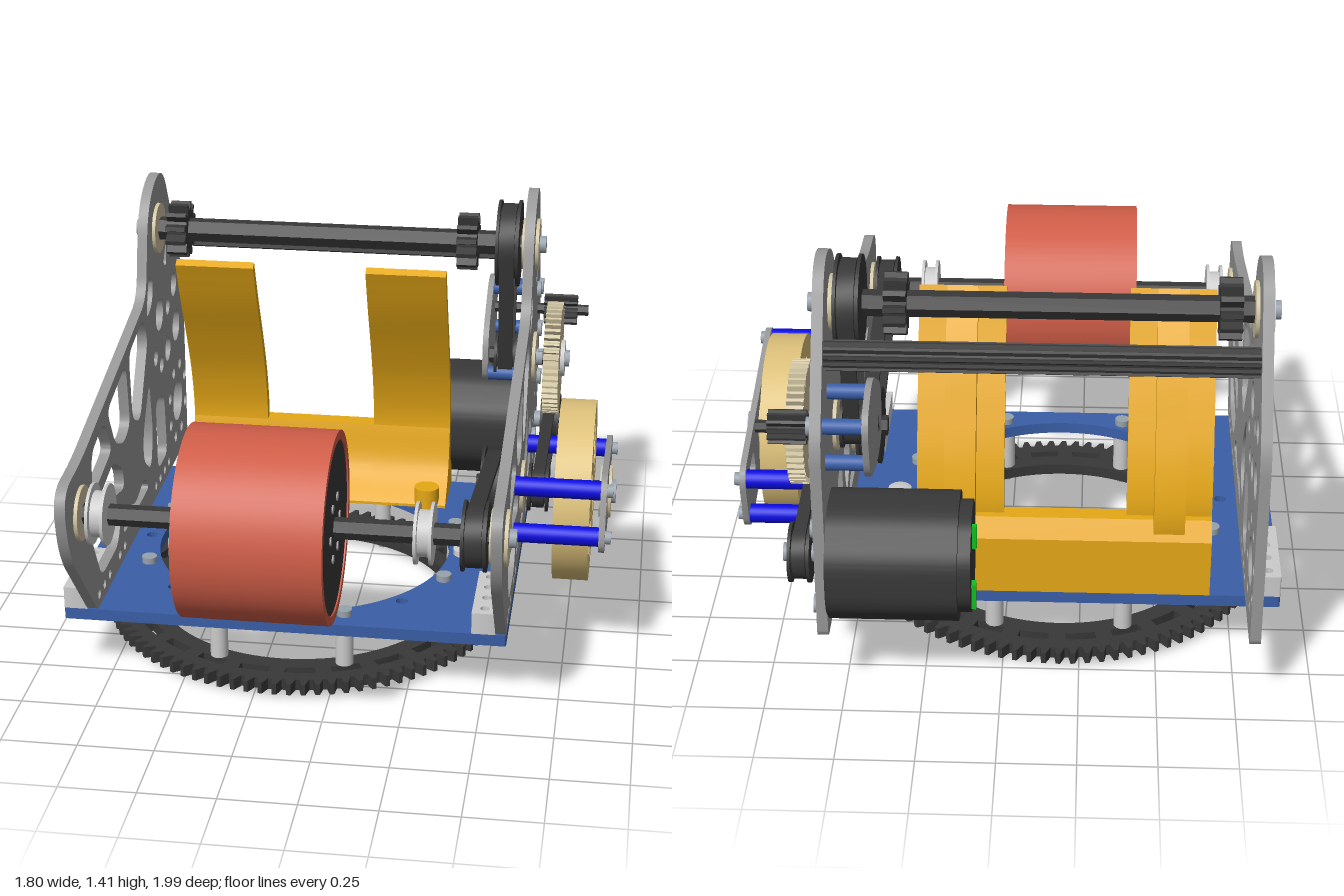
import * as THREE from 'three';
import { toCreasedNormals } from 'three/addons/utils/BufferGeometryUtils.js';

const C = { grey: 0xcccccc, plate: 0x999999, bolt: 0x98a2ac, blue: 0x3a5fa8, bright: 0x0a0ae0, coral: 0xcf5d48,
  yellow: 0xe6a817, dark: 0x383838, tan: 0xdcc07a, gear: 0xcfc3a0, green: 0x10c020 };
const mats = {};
const mat = c => (mats[c] ??= new THREE.MeshStandardMaterial({ color: C[c] }));
const V = (a, b) => new THREE.Vector2(a, b);

export function createModel() {
  const root = new THREE.Group();
  const add = (name, geo, color) => {
    const m = new THREE.Mesh(geo, mat(color));
    m.name = name;
    root.add(m);
    return m;
  };
  const box = (name, x0, x1, y0, y1, z0, z1, color) =>
    add(name, new THREE.BoxGeometry(x1 - x0, y1 - y0, z1 - z0), color)
      .position.set((x0 + x1) / 2, (y0 + y1) / 2, (z0 + z1) / 2);
  // Cylinder along x, or upright
  const rod = (name, r, x0, x1, z, y, color, sides = 28) => {
    const g = new THREE.CylinderGeometry(r, r, x1 - x0, sides).rotateZ(Math.PI / 2);
    add(name, sides < 10 ? toCreasedNormals(g, 0.5) : g, color).position.set((x0 + x1) / 2, y, z);
  };
  const post = (name, r, y0, y1, x, z, color) =>
    add(name, new THREE.CylinderGeometry(r, r, y1 - y0, 20), color).position.set(x, (y0 + y1) / 2, z);
  // Side profile (z, y) extruded from x0 to x1
  const side = (name, shape, x0, x1, color, segs = 14) => {
    const g = new THREE.ExtrudeGeometry(shape, { depth: x1 - x0, bevelEnabled: false, curveSegments: segs });
    g.rotateY(-Math.PI / 2).translate(x1, 0, 0);
    return add(name, toCreasedNormals(g, 0.5), color);
  };
  // Flat profile (x, -z) extruded from y0 to y1
  const flat = (name, shape, y0, y1, color, segs = 48) => {
    const g = new THREE.ExtrudeGeometry(shape, { depth: y1 - y0, bevelEnabled: false, curveSegments: segs });
    g.rotateX(-Math.PI / 2).translate(0, y0, 0);
    return add(name, toCreasedNormals(g, 0.5), color);
  };
  const circle = (x, y, r) => { const p = new THREE.Path(); p.absarc(x, y, r, 0, Math.PI * 2); return p; };
  const rounded = (pts, r, Kind = THREE.Path) => {
    const s = new Kind(), P = pts.map(p => V(...p)), n = P.length;
    P.forEach((p, i) => {
      const a = P[(i + n - 1) % n], b = P[(i + 1) % n];
      const rad = Math.min(pts[i][2] ?? r, p.distanceTo(a) / 2, p.distanceTo(b) / 2);
      const s0 = a.clone().sub(p).setLength(rad).add(p), s1 = b.clone().sub(p).setLength(rad).add(p);
      i ? s.lineTo(s0.x, s0.y) : s.moveTo(s0.x, s0.y);
      s.quadraticCurveTo(p.x, p.y, s1.x, s1.y);
    });
    s.closePath();
    return s;
  };
  // Arc-shaped window between two radii
  const sector = (x, y, r0, r1, a0, a1) => {
    const p = new THREE.Path();
    p.absarc(x, y, r1, a0, a1, false);
    p.absarc(x, y, r0, a1, a0, true);
    p.closePath();
    return p;
  };
  const toothed = (x, y, r, depth, n) => {
    const pts = [];
    for (let i = 0; i < n; i++) [[0, 0], [0.28, 0], [0.4, 1], [0.7, 1]].forEach(([t, up]) => {
      const a = (i + t) / n * Math.PI * 2, q = r - depth * (1 - up);
      pts.push(V(x + q * Math.cos(a), y + q * Math.sin(a)));
    });
    return new THREE.Shape(pts);
  };
  // Loop around two pulleys
  const belt = (name, a, ra, b, rb, x0, x1) => {
    const t = Math.atan2(b[1] - a[1], b[0] - a[0]), d = Math.hypot(b[0] - a[0], b[1] - a[1]);
    const k = Math.acos((ra - rb) / d);
    const loop = (Kind, off) => {
      const s = new Kind();
      s.absarc(a[0], a[1], ra - off, t + k, t - k + Math.PI * 2, false);
      s.absarc(b[0], b[1], rb - off, t - k, t + k, false);
      s.closePath();
      return s;
    };
    const s = loop(THREE.Shape, 0);
    s.holes.push(loop(THREE.Path, 0.018));
    side(name, s, x0, x1, 'dark');
  };
  const bolt = (z, y, x0, x1, r = 0.03) => rod('bolt', r, x0, x1, z, y, 'bolt', 16);

  const front = [0.69, 0.67], top = [-0.545, 1.225], mid = [-0.06, 0.51], gearC = [-0.55, 0.8], motor = [-0.79, 0.46];
  const cx = -0.18, cz = -0.06;

  // Base plate with round opening
  const base = rounded([[-0.9, -0.53], [0.575, -0.53], [0.575, 0.66], [-0.9, 0.66]], 0.01, THREE.Shape);
  base.holes.push(circle(cx, -cz, 0.51));
  for (const [x, z] of [[-0.57, 0.33], [0.21, 0.33], [-0.73, -0.06]]) base.holes.push(circle(x, -z, 0.02));
  flat('basePlate', base, 0.2, 0.24, 'blue');

  // Slotted ring gear hung on eight posts
  const ring = toothed(cx, -cz, 0.69, 0.035, 90);
  ring.holes.push(circle(cx, -cz, 0.515));
  for (let i = 0; i < 24; i++) {
    const a = i * Math.PI / 12;
    ring.holes.push(sector(cx, -cz, 0.575, 0.61, a + 0.04, a + 0.21));
  }
  flat('ringGear', ring, 0.02, 0.06, 'dark');
  for (let i = 0; i < 8; i++) {
    const a = (i + 0.5) * Math.PI / 4, x = cx + 0.555 * Math.cos(a), z = cz + 0.555 * Math.sin(a);
    post('ringPost', 0.03, 0.06, 0.2, x, z, 'grey');
    post('ringBolt', 0.016, 0, 0.25, x, z, 'bolt');
    post('ringBoltHead', 0.026, 0.24, 0.262, x, z, 'bolt');
  }
  const guide = [[0, 0.06], [0.05, 0.06], [0.05, 0.085], [0.028, 0.095], [0.028, 0.11], [0.05, 0.12], [0.05, 0.15],
    [0.028, 0.155], [0.028, 0.17], [0.05, 0.18], [0.05, 0.2], [0.04, 0.24], [0.04, 0.26], [0, 0.27]];
  add('guideRoller', toCreasedNormals(new THREE.LatheGeometry(guide.map(p => V(...p)), 24), 0.5), 'grey')
    .position.set(0.385, 0, cz);

  // Side plates with truss windows
  const outline = [[0.53, 0.24, 0.02], [0.84, 0.58, 0.1], [0.89, 0.82, 0.15], [0.66, 0.83, 0.1], [-0.33, 1.03, 0.08],
    [-0.41, 1.36, 0.17], [-0.65, 1.44, 0.16], [-0.945, 0.92, 0.06], [-0.945, 0.24, 0.03]];
  const windows = [
    [[0.52, 0.80], [0.34, 0.84], [0.25, 0.70], [0.53, 0.65]],
    [[0.29, 0.855], [0.01, 0.915], [-0.02, 0.68], [0.08, 0.65], [0.2, 0.7]],
    [[-0.04, 0.93], [-0.27, 0.98], [-0.33, 0.88], [-0.17, 0.63], [-0.06, 0.68]],
    [[0.54, 0.59], [0.24, 0.65], [0.11, 0.57], [0.1, 0.49]],
    [[0.57, 0.52], [0.15, 0.44], [0.22, 0.33], [0.46, 0.33]],
    [[0.15, 0.33], [0.08, 0.41], [-0.06, 0.36], [-0.2, 0.4], [-0.27, 0.33]],
    [[-0.21, 0.56], [-0.33, 0.72], [-0.36, 0.5], [-0.31, 0.38], [-0.2, 0.46]],
    [[-0.42, 0.33], [-0.42, 0.6], [-0.56, 0.58], [-0.58, 0.33]],
    [[-0.32, 0.95], [-0.38, 1.1], [-0.45, 1.06], [-0.42, 0.98]],
    [[-0.62, 1.06], [-0.68, 1.15], [-0.67, 1.04]]];
  for (const left of [true, false]) {
    const s = rounded(outline, 0.05, THREE.Shape);
    windows.forEach(w => s.holes.push(rounded(w, 0.05)));
    for (let i = 0; i < 6; i++) if (i < 3 || i > 3) s.holes.push(circle(0.5 - i * 0.075, 0.283, 0.017));
    for (let i = 0; i < 4; i++) s.holes.push(circle(-0.38 - i * 0.075, 0.283, 0.017));
    for (let i = 0; i < 8; i++) {
      const a = (i + 0.5) * Math.PI / 4;
      s.holes.push(circle(motor[0] + 0.14 * Math.cos(a), motor[1] + 0.14 * Math.sin(a), left ? 0.022 : 0.015));
    }
    if (left) for (const [z, y, r] of [[-0.79, 0.46, 0.08], [-0.65, 0.72, 0.045], [-0.8, 0.76, 0.06], [-0.53, 0.9, 0.06],
      [-0.78, 0.93, 0.045], [-0.45, 0.76, 0.03], [-0.67, 0.88, 0.03], [-0.54, 0.7, 0.03]]) s.holes.push(circle(z, y, r));
    const x = left ? -0.82 : 0.54;
    side(left ? 'leftHandPlate' : 'rightHandPlate', s, x, x + 0.035, 'plate', 10);
    // Bearings on the shaft ends
    for (const [z, y] of left ? [front, top] : [front, top, mid, gearC]) {
      rod('bearing', 0.09, x - 0.012, x + 0.047, z, y, 'gear');
      left ? bolt(z, y, x - 0.035, x) : bolt(z, y, x + 0.03, x + 0.07);
    }
    // Mounting blocks, with holes through the top
    for (const z of [-0.66, 0.22]) {
      const x0 = left ? -0.9 : 0.46, b = rounded([[x0, -z], [x0 + 0.08, -z], [x0 + 0.08, -z - 0.31], [x0, -z - 0.31]], 0.005, THREE.Shape);
      for (let i = 0; i < 4; i++) b.holes.push(circle(x0 + 0.04, -z - 0.04 - i * 0.077, 0.015));
      flat('mountingBlock', b, 0.24, 0.315, 'grey', 8);
    }
  }
  for (const [z, y] of [[-0.71, 1.0], [-0.86, 0.96], [-0.82, 0.81], [-0.87, 0.6], [-0.63, 0.46], [-0.87, 0.32]]) bolt(z, y, 0.57, 0.59);

  // Front intake roller
  rod('frontShaft', 0.035, -0.82, 0.575, ...front, 'dark', 6);
  const tyre = new THREE.Shape();
  tyre.absarc(...front, 0.31, 0, Math.PI * 2);
  tyre.holes.push(circle(...front, 0.28));
  side('rollerTyre', tyre, -0.43, 0.04, 'coral', 36);
  rod('rollerCore', 0.281, -0.425, 0.035, ...front, 'dark', 48);
  for (let i = 0; i < 6; i++) {
    const a = i * Math.PI / 3;
    rod('rollerScrew', 0.015, -0.43, 0.04, front[0] + 0.1 * Math.cos(a), front[1] + 0.1 * Math.sin(a), 'plate', 10);
  }
  for (const x of [-0.72, 0.32]) {
    rod('shaftCollar', 0.075, x - 0.028, x + 0.028, ...front, 'grey');
    for (const d of [-0.028, 0.02]) rod('collarFlange', 0.1, x + d, x + d + 0.01, ...front, 'grey');
  }

  // Top roller and rear ridged brace
  rod('topShaft', 0.042, -0.82, 0.56, ...top, 'dark', 6);
  for (const x of [-0.735, 0.3]) side('topSprocket', toothed(...top, 0.1, 0.03, 12), x, x + 0.07, 'dark');
  side('rearBrace', toothed(-0.745, 1.145, 0.048, 0.012, 10), -0.785, 0.54, 'dark');

  // Belts and pulleys
  const pulley = (c, r, x0, x1) => {
    rod('pulley', r - 0.015, x0, x1, ...c, 'dark');
    for (const x of [x0, x1 - 0.01]) rod('pulleyFlange', r + 0.012, x, x + 0.01, ...c, 'dark');
  };
  pulley(front, 0.1, 0.44, 0.52);
  pulley(mid, 0.12, 0.44, 0.52);
  belt('frontBelt', front, 0.1, mid, 0.12, 0.455, 0.505);
  pulley(top, 0.14, 0.44, 0.52);
  pulley(gearC, 0.07, 0.44, 0.52);
  belt('topBelt', top, 0.14, gearC, 0.07, 0.455, 0.505);
  pulley(mid, 0.07, 0.6, 0.67);
  pulley(motor, 0.085, 0.6, 0.67);
  belt('motorBelt', mid, 0.07, motor, 0.085, 0.615, 0.655);

  // Flywheel with six spokes and its outer support
  const wheel = new THREE.Shape();
  wheel.absarc(...mid, 0.31, 0, Math.PI * 2);
  for (let i = 0; i < 6; i++) wheel.holes.push(sector(...mid, 0.11, 0.235, i * Math.PI / 3 + 0.16, (i + 1) * Math.PI / 3 - 0.16));
  side('flywheel', wheel, 0.7, 0.82, 'tan', 36);
  rod('flywheelShaft', 0.035, 0.42, 0.87, ...mid, 'dark', 6);
  const arm = rounded([[0.3, 0.72], [0.375, 0.47], [-0.43, 0.3], [-0.485, 0.55]], 0.07, THREE.Shape);
  arm.holes.push(rounded([[-0.27, 0.53], [-0.38, 0.51], [-0.37, 0.42], [-0.25, 0.44]], 0.03));
  arm.holes.push(rounded([[0.25, 0.63], [0.27, 0.55], [0.15, 0.53], [0.13, 0.6]], 0.03));
  side('flywheelSupport', arm, 0.855, 0.875, 'plate');
  rod('supportBearing', 0.09, 0.845, 0.885, ...mid, 'gear');
  bolt(...mid, 0.88, 0.9, 0.04);
  for (const [z, y] of [[0.28, 0.664], [0.31, 0.51], [-0.434, 0.51], [-0.396, 0.354]]) {
    rod('supportSpacer', 0.032, 0.575, 0.855, z, y, 'bright');
    bolt(z, y, 0.87, 0.895, 0.022);
  }

  // Reduction gear, pinion and inner gearbox plate
  side('reductionGear', toothed(...gearC, 0.2, 0.018, 48), 0.62, 0.675, 'gear');
  rod('gearShaft', 0.03, 0.4, 0.69, ...gearC, 'dark', 6);
  rod('gearHub', 0.065, 0.675, 0.69, ...gearC, 'grey');
  bolt(...gearC, 0.68, 0.705);
  side('pinion', toothed(-0.77, 0.905, 0.055, 0.018, 12), 0.6, 0.72, 'dark');
  rod('pinionShaft', 0.02, 0.42, 0.76, -0.77, 0.905, 'dark', 6);
  side('gearboxPlate', rounded([[-0.46, 0.72], [-0.46, 0.9], [-0.7, 1.05], [-0.9, 0.99], [-0.85, 0.76], [-0.62, 0.7]], 0.08, THREE.Shape), 0.4, 0.42, 'plate');
  for (const [z, y] of [[-0.71, 1.0], [-0.86, 0.96], [-0.82, 0.81], [-0.5, 0.75]]) rod('gearboxSpacer', 0.025, 0.42, 0.54, z, y, 'blue');

  // Motor
  const octagon = r => [...Array(8)].map((_, i) => {
    const a = (i + 0.5) * Math.PI / 4;
    return [motor[0] + r * Math.cos(a), motor[1] + r * Math.sin(a)];
  });
  side('motorBody', rounded(octagon(0.22), 0.06, THREE.Shape), 0.13, 0.54, 'dark');
  side('motorCap', rounded(octagon(0.19), 0.05, THREE.Shape), 0.09, 0.13, 'dark');
  box('motorConnector', 0.075, 0.14, 0.52, 0.6, -0.845, -0.825, 'green');
  box('motorConnector', 0.075, 0.12, 0.33, 0.42, -0.9, -0.87, 'green');
  rod('motorShaft', 0.03, 0.54, 0.69, ...motor, 'bolt');

  // Curved chute: two guide strips with ribs, joined by a low back
  const spline = pts => new THREE.CatmullRomCurve3(pts.map(p => new THREE.Vector3(p[0], p[1], 0))).getPoints(28).map(p => V(p.x, p.y));
  const face = [[-0.305, 1.17], [-0.37, 1.02], [-0.46, 0.84], [-0.53, 0.67], [-0.56, 0.5], [-0.52, 0.35], [-0.42, 0.25]];
  const backOf = d => spline(face.map(([z, y], i) => [z - (i ? d : 0.025), y + (i ? 0 : 0.015)])).reverse();
  for (const [x0, x1] of [[-0.67, -0.395], [0.0, 0.28]]) {
    side('chuteStrip', new THREE.Shape([...spline(face), ...backOf(0.035)]), x0, x1, 'yellow');
    const m = (x0 + x1) / 2;
    side('chuteRib', new THREE.Shape([...spline(face), ...backOf(0.09)]), m - 0.05, m + 0.05, 'yellow');
  }
  const low = face.slice(4);
  side('chuteBack', new THREE.Shape([...spline(low), V(-0.42, 0.24), V(-0.66, 0.24), V(-0.66, 0.44), V(-0.62, 0.5)]), -0.67, 0.28, 'yellow');
  for (const x of [-0.57, 0.21]) post('chuteFoot', 0.045, 0.24, 0.315, x, -0.44, 'yellow');

  return root;
}
